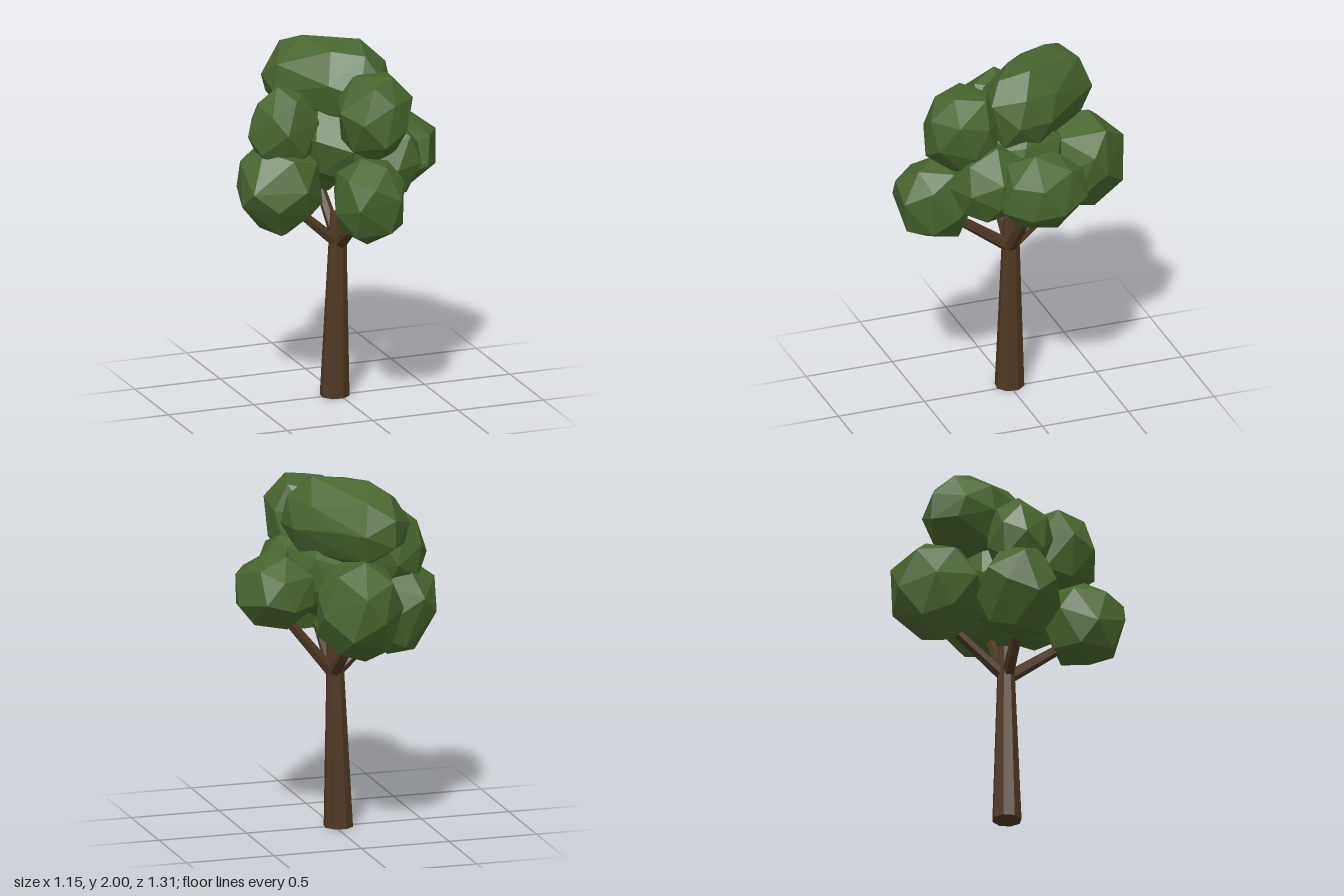
import * as THREE from 'three';
import { ConvexGeometry } from 'three/addons/geometries/ConvexGeometry.js';

const bark = new THREE.MeshStandardMaterial({ color: 0x4f3823, flatShading: true });
const leaf = new THREE.MeshStandardMaterial({ color: 0x48652e, flatShading: true });

// Small seeded number source, 0..1
function seeded(seed) {
  let s = seed * 7919;
  return () => (s = (s * 16807 + 11) % 2147483647) / 2147483647;
}

// Corners of an uneven ball, fitted to a box given by its lower and upper corners
function ballPoints(min, max, seed) {
  const rand = seeded(seed);
  const turn = new THREE.Euler(seed * 1.3, seed * 2.1, 0);
  const points = [];
  const count = 22;
  for (let i = 0; i < count; i++) {
    const y = 1 - (2 * i + 1) / count;
    const r = Math.sqrt(1 - y * y);
    const a = i * 2.39996 + (rand() - 0.5) * 0.4;
    const p = new THREE.Vector3(r * Math.cos(a), y, r * Math.sin(a));
    points.push(p.multiplyScalar(0.95 + 0.1 * rand()).applyEuler(turn));
  }
  const have = new THREE.Box3().setFromPoints(points);
  const want = new THREE.Box3(new THREE.Vector3(...min), new THREE.Vector3(...max));
  const scale = want.getSize(new THREE.Vector3()).divide(have.getSize(new THREE.Vector3()));
  points.forEach((p) => p.sub(have.min).multiply(scale).add(want.min));
  return points;
}

// Faceted clump wrapped around one or more balls
function foliage(name, seed, boxes) {
  const points = boxes.flatMap(([min, max], i) => ballPoints(min, max, seed + i));
  const mesh = new THREE.Mesh(new ConvexGeometry(points), leaf);
  mesh.name = name;
  return mesh;
}

// Tapered limb between two points
function branch(name, from, to) {
  const a = new THREE.Vector3(...from);
  const dir = new THREE.Vector3(...to).sub(a);
  const geo = new THREE.CylinderGeometry(0.026, 0.036, dir.length(), 6);
  geo.translate(0, dir.length() / 2, 0);
  const mesh = new THREE.Mesh(geo, bark);
  mesh.name = name;
  mesh.position.copy(a);
  mesh.quaternion.setFromUnitVectors(new THREE.Vector3(0, 1, 0), dir.normalize());
  return mesh;
}

export function createModel() {
  const tree = new THREE.Group();
  tree.name = 'tree';

  // Trunk, leaning slightly while its ends stay level
  const h = 1.04;
  const trunkGeo = new THREE.CylinderGeometry(0.044, 0.082, h, 8);
  trunkGeo.rotateY(Math.PI / 12);
  trunkGeo.translate(0, h / 2, 0);
  const p = trunkGeo.attributes.position;
  for (let i = 0; i < p.count; i++) {
    const low = 1 - p.getY(i) / h;
    p.setX(i, p.getX(i) - 0.003 - 0.021 * low);
    p.setZ(i, p.getZ(i) - 0.005);
  }
  trunkGeo.computeVertexNormals();
  const trunk = new THREE.Mesh(trunkGeo, bark);
  trunk.name = 'trunk';
  tree.add(trunk);

  // Four limbs
  tree.add(
    branch('leftBranch', [0.01, 0.87, 0], [0.32, 1.25, -0.01]),
    branch('rightBranch', [-0.01, 0.87, 0], [-0.3, 1.13, 0]),
    branch('frontBranch', [0, 0.87, 0.01], [0, 1.14, 0.38]),
    branch('backBranch', [0, 0.87, -0.01], [0, 1.16, -0.35]),
  );

  // Crown; the top clump stretches from back right to front left
  const clumps = [
    ['frontLowerFoliage', [[-0.2, 1.0, 0.19], [0.2, 1.48, 0.655]]],
    ['frontUpperFoliage', [[-0.13, 1.43, 0.1], [0.28, 1.91, 0.52]]],
    ['topFoliage', [[-0.33, 1.53, -0.49], [0.1, 2.0, -0.04]], [[-0.15, 1.5, -0.24], [0.29, 2.0, 0.2]]],
    ['centreFoliage', [[-0.24, 1.17, -0.28], [0.29, 1.72, 0.23]]],
    ['backFoliage', [[-0.25, 1.02, -0.655], [0.22, 1.6, -0.14]]],
    ['rightLowerFoliage', [[-0.575, 0.95, -0.25], [-0.11, 1.48, 0.22]]],
    ['rightUpperFoliage', [[-0.52, 1.32, -0.2], [-0.11, 1.79, 0.16]]],
    ['leftFoliage', [[0.1, 1.16, -0.3], [0.575, 1.59, 0.2]]],
    ['frontLeftFoliage', [[0.0, 1.17, -0.02], [0.39, 1.62, 0.42]]],
  ];
  clumps.forEach(([name, ...boxes], i) => tree.add(foliage(name, i + 1, boxes)));
  return tree;
}
